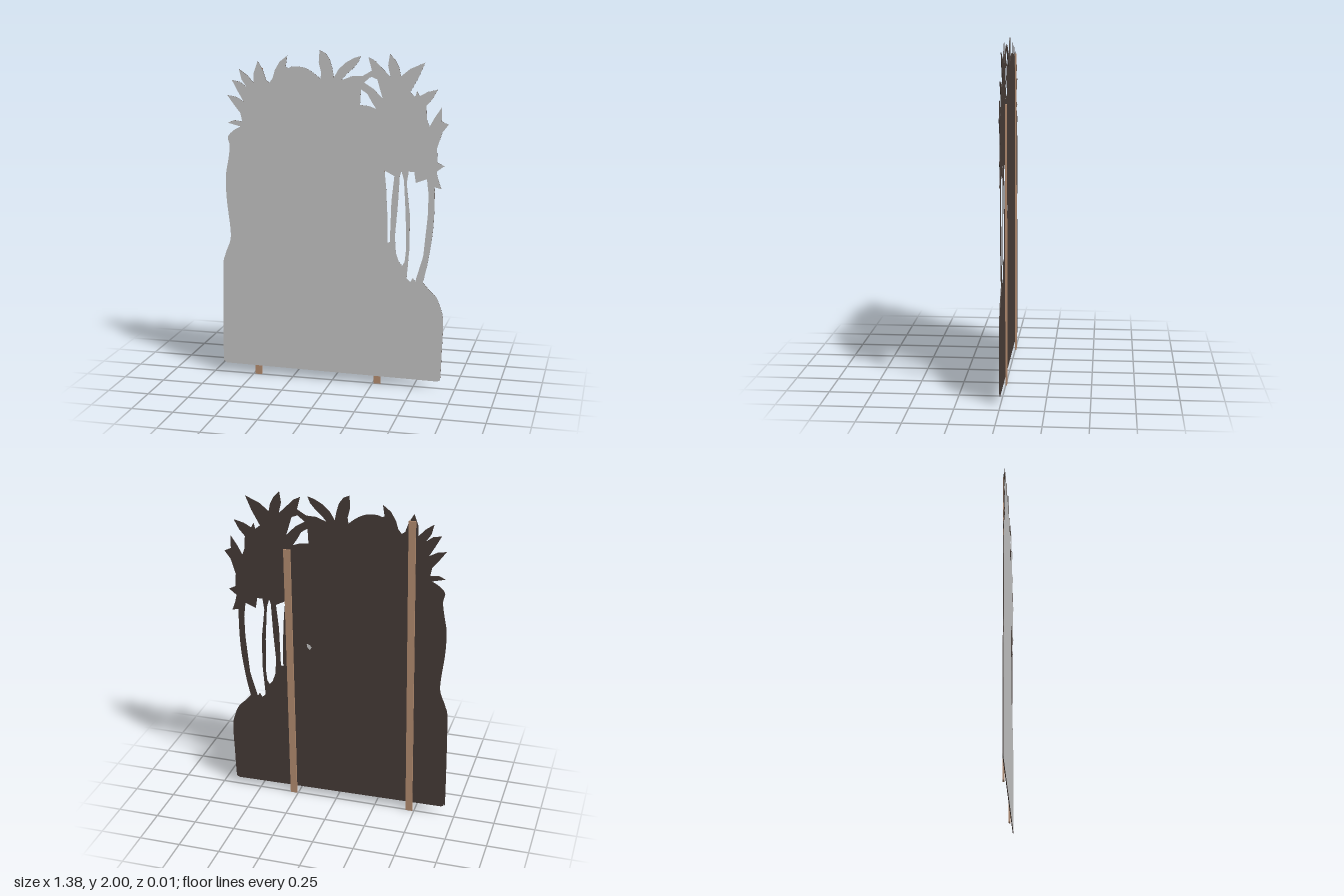
import * as THREE from 'three';

const material = (name, color) => {
  const m = new THREE.MeshStandardMaterial({ color });
  m.name = name;
  return m;
};
const vectors = (points) => points.map(([x, y]) => new THREE.Vector2(x, y));
const smooth = (points, n = 40) => new THREE.SplineCurve(vectors(points)).getPoints(n);

// Soft left side, from the bottom corner up to the first frond
const leftSide = [
  [-0.67, 0.06], [-0.685, 0.075], [-0.692, 0.12], [-0.685, 0.65], [-0.67, 0.75], [-0.637, 0.84], [-0.635, 0.92],
  [-0.655, 1.1], [-0.657, 1.24], [-0.64, 1.34], [-0.63, 1.42], [-0.64, 1.475], [-0.605, 1.515], [-0.56, 1.54],
];
// Fan of pointed leaves at the upper left
const leftFronds = [
  [-0.64, 1.56], [-0.6, 1.577], [-0.55, 1.57], [-0.56, 1.62], [-0.6, 1.67], [-0.64, 1.725], [-0.59, 1.717],
  [-0.54, 1.69], [-0.575, 1.75], [-0.61, 1.815], [-0.56, 1.805], [-0.52, 1.775], [-0.55, 1.82], [-0.565, 1.88],
  [-0.515, 1.845], [-0.475, 1.8], [-0.475, 1.86], [-0.45, 1.93], [-0.42, 1.88], [-0.4, 1.82], [-0.38, 1.805],
  [-0.36, 1.83], [-0.345, 1.88], [-0.315, 1.93], [-0.27, 1.965], [-0.28, 1.9],
];
// Rounded top between the leaves
const dome = [[-0.265, 1.892], [-0.24, 1.902], [-0.18, 1.9], [-0.125, 1.877], [-0.07, 1.835]];
// Two broad leaves in the middle and the stem reaching to the palm
const middleFronds = [
  [-0.065, 1.87], [-0.08, 1.93], [-0.075, 2.0], [-0.04, 1.985], [-0.015, 1.95], [0.0, 1.9], [0.01, 1.845],
  [0.04, 1.895], [0.085, 1.935], [0.13, 1.96], [0.17, 1.972], [0.155, 1.935], [0.125, 1.9], [0.085, 1.865],
  [0.055, 1.83], [0.12, 1.855], [0.18, 1.857], [0.235, 1.89],
];
// Palm crown, clockwise down its right side
const palmFronds = [
  [0.215, 1.965], [0.255, 1.945], [0.3, 1.9], [0.345, 1.855], [0.33, 1.92], [0.34, 1.987], [0.375, 1.95],
  [0.395, 1.91], [0.405, 1.86], [0.46, 1.905], [0.545, 1.942], [0.51, 1.86], [0.46, 1.77], [0.49, 1.745],
  [0.5, 1.78], [0.515, 1.75], [0.56, 1.775], [0.62, 1.79], [0.59, 1.735], [0.555, 1.695], [0.56, 1.615],
  [0.575, 1.575], [0.605, 1.63], [0.645, 1.69], [0.645, 1.61], [0.685, 1.59], [0.65, 1.545], [0.62, 1.45],
  [0.625, 1.37], [0.665, 1.35], [0.62, 1.315], [0.63, 1.27], [0.65, 1.215], [0.61, 1.225],
];
// Outer trunk and the lower right side
const trunkEdge = [[0.612, 1.2], [0.61, 1.05], [0.6, 0.92], [0.575, 0.76], [0.55, 0.65]];
const rightSide = [
  [0.55, 0.65], [0.59, 0.605], [0.63, 0.565], [0.66, 0.495], [0.675, 0.415], [0.67, 0.23], [0.664, 0.07],
  [0.655, 0.05], [0.64, 0.045],
];
// Openings between the trunks and between the palm leaves
const openings = [
  [[0.315, 1.31], [0.345, 1.295], [0.373, 1.28], [0.357, 1.13], [0.35, 0.885], [0.335, 0.88], [0.335, 1.02], [0.325, 1.21]],
  [[0.415, 1.31], [0.43, 1.26], [0.443, 1.05], [0.447, 0.84], [0.44, 0.77], [0.425, 0.745], [0.405, 0.77],
    [0.387, 0.82], [0.38, 0.92], [0.395, 1.1], [0.405, 1.28]],
  [[0.457, 1.31], [0.49, 1.31], [0.5, 1.245], [0.565, 1.27], [0.576, 1.18], [0.573, 1.05], [0.55, 0.81],
    [0.505, 0.655], [0.49, 0.675], [0.475, 0.65], [0.453, 0.67], [0.468, 0.86], [0.468, 1.05], [0.447, 1.24]],
  [[0.172, 1.78], [0.21, 1.755], [0.235, 1.71], [0.262, 1.67], [0.22, 1.685], [0.167, 1.69]],
  [[0.19, 1.82], [0.23, 1.855], [0.267, 1.84], [0.3, 1.73], [0.246, 1.785]],
];

const extrude = (shape, depth, z) =>
  new THREE.ExtrudeGeometry(shape, { depth, bevelEnabled: false }).translate(0, 0, z);

export function createModel() {
  const grey = material('light grey face', 0xc8c8c8);
  const dark = material('dark brown board', 0x483d38);
  const wood = material('light wood', 0xb88f72);
  const group = new THREE.Group();
  const add = (name, geometry, mat) => {
    const mesh = new THREE.Mesh(geometry, mat);
    mesh.name = name;
    group.add(mesh);
  };

  const outline = new THREE.Shape([
    ...smooth(leftSide, 60), ...vectors(leftFronds), ...smooth(dome, 16), ...vectors(middleFronds),
    ...vectors(palmFronds), ...smooth(trunkEdge, 20), ...smooth(rightSide).slice(1),
  ]);
  outline.holes = openings.map((points) => new THREE.Path(vectors(points)));

  // Cut-out board with a pale front skin
  add('board', extrude(outline, 0.004, 0.002), dark);
  add('frontFace', new THREE.ShapeGeometry(outline).translate(0, 0, 0.007), grey);

  // Slightly leaning battens on the back
  const posts = [['rightPost', -0.49, -0.462, 1.89], ['leftPost', 0.257, 0.277, 1.64]];
  for (const [name, bottom, top, height] of posts) {
    const quad = [[bottom, 0], [bottom + 0.042, 0], [top + 0.042, height], [top, height]];
    add(name, extrude(new THREE.Shape(vectors(quad)), 0.009, -0.007), wood);
  }

  // Small chip in the back surface
  const chip = [[0.155, 1.03], [0.165, 1.01], [0.18, 1.025], [0.185, 1.05], [0.165, 1.045]];
  add('backChip', extrude(new THREE.Shape(vectors(chip)), 0.001, 0.0012), grey);
  return group;
}
